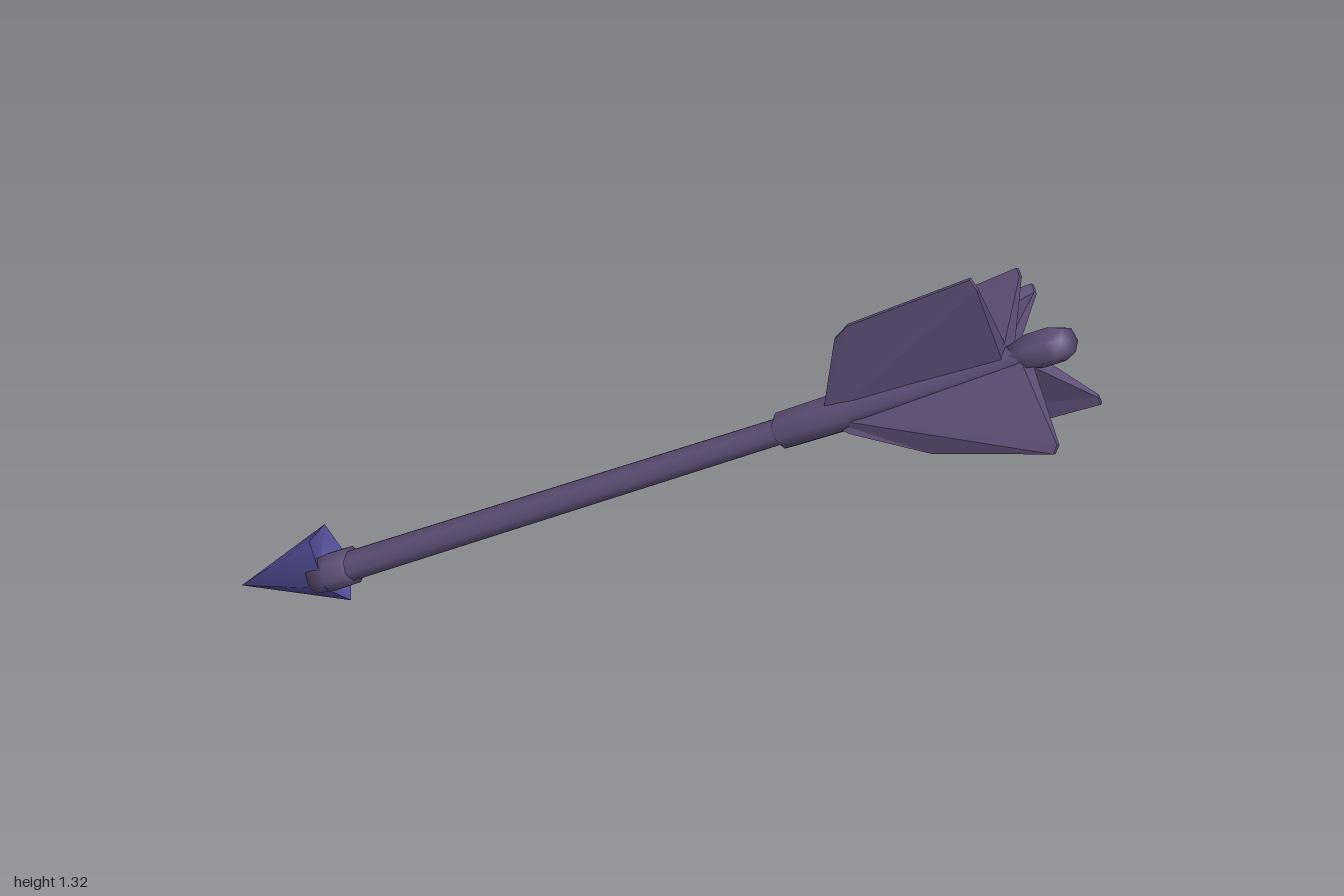
import * as THREE from 'three';

const V = (x, y, z) => new THREE.Vector3(x, y, z);
// point on the shaft's centre line for a given x
const axis = (x) => V(x, 0.1 + 0.623 * (x + 0.8), 0.01);

// Turned part running from point a towards point b; profile is [radius, distance] pairs
function turned(name, a, b, profile, sides, zScale, material) {
  const geo = new THREE.LatheGeometry(
    profile.map(([r, h]) => new THREE.Vector2(r, h)), sides, Math.PI / 2);
  const dir = b.clone().sub(a).normalize();
  const side = V(-dir.y, dir.x, 0).normalize();
  const depth = side.clone().cross(dir);
  geo.scale(1, 1, zScale);
  geo.applyMatrix4(new THREE.Matrix4().makeBasis(side, dir, depth).setPosition(a));
  const mesh = new THREE.Mesh(geo, material);
  mesh.name = name;
  return mesh;
}

// Feather vane: a wedge, thick at its root on the shaft and thin at the outer edge
function vane(name, outer, rootEnd, material) {
  const pts = [axis(0.37), ...outer.map((p) => V(...p)), axis(rootEnd)];
  const last = pts.length - 1;
  const normal = pts[2].clone().sub(pts[0]).cross(pts[last].clone().sub(pts[0])).normalize();
  const shift = (sign) => pts.map((p, i) =>
    p.clone().addScaledVector(normal, sign * (i === 0 || i === last ? 0.02 : 0.004)));
  const top = shift(1), bottom = shift(-1);
  const tris = [];
  for (let i = 1; i < last; i++) {
    tris.push(top[0], top[i], top[i + 1], bottom[0], bottom[i + 1], bottom[i]);
  }
  for (let i = 0; i <= last; i++) {
    const j = (i + 1) % pts.length;
    tris.push(bottom[i], bottom[j], top[j], bottom[i], top[j], top[i]);
  }
  const geo = new THREE.BufferGeometry().setFromPoints(tris);
  geo.computeVertexNormals();
  const mesh = new THREE.Mesh(geo, material);
  mesh.name = name;
  return mesh;
}

export function createModel() {
  const purple = new THREE.MeshStandardMaterial({ color: 0x5f5078 });
  purple.name = 'dusky purple';
  const blue = new THREE.MeshStandardMaterial({ color: 0x54509a });
  blue.name = 'blue violet';

  const arrow = new THREE.Group();
  arrow.name = 'arrow';

  // Shaft, leaning slightly forward at the head end
  const start = V(-0.8, 0.1, 0.018), end = V(0.95, 1.19, 0.006);
  arrow.add(turned('shaft', start, end,
    [[0, 0], [0.033, 0.01], [0.029, 1.3], [0.036, 1.5], [0.027, 1.93], [0, 1.94]], 8, 1.25, purple));

  // Collars behind the head and ahead of the vanes
  arrow.add(turned('headCollar', start, end,
    [[0, -0.03], [0.036, -0.02], [0.042, 0.03], [0.041, 0.075], [0.03, 0.085]], 8, 1.2, purple));
  arrow.add(turned('vaneCollar', start, end,
    [[0.025, 1.25], [0.042, 1.27], [0.044, 1.42], [0.034, 1.56]], 8, 1.05, purple));

  // Nock at the tail
  arrow.add(turned('nock', start, end,
    [[0, 1.89], [0.028, 1.9], [0.042, 1.96], [0.042, 2.02], [0.03, 2.055], [0, 2.06]], 6, 1, purple));

  // Pointed head
  arrow.add(turned('head', V(-0.79, 0.122, 0.003), V(-1, 0.007, 0.006),
    [[0, 0.03], [0.092, 0], [0.092, 0], [0, 0.24]], 5, 0.7, blue));

  // Five vanes around the tail
  const vanes = {
    topVane: [[[0.42, 1.07, 0.06], [0.455, 1.12, 0.07], [0.75, 1.33, 0.085], [0.767, 1.31, 0.085]], 0.8],
    upperBackVane: [[[0.46, 1.01, -0.055], [0.51, 1.07, -0.08], [0.78, 1.27, -0.08], [0.79, 1.255, -0.075]], 0.8],
    backVane: [[[0.46, 0.965, -0.056], [0.53, 1.035, -0.115], [0.775, 1.18, -0.162], [0.785, 1.165, -0.155]], 0.8],
    lowerFrontVane: [[[0.45, 0.83, 0.045], [0.66, 0.86, 0.078], [0.985, 1.0, 0.158], [0.99, 1.02, 0.15]], 0.84],
    lowerBackVane: [[[0.49, 0.835, -0.03], [0.68, 0.835, -0.035], [0.99, 1.005, -0.055], [0.985, 1.025, -0.05]], 0.84],
  };
  for (const [name, [outer, rootEnd]] of Object.entries(vanes)) {
    arrow.add(vane(name, outer, rootEnd, purple));
  }
  return arrow;
}
